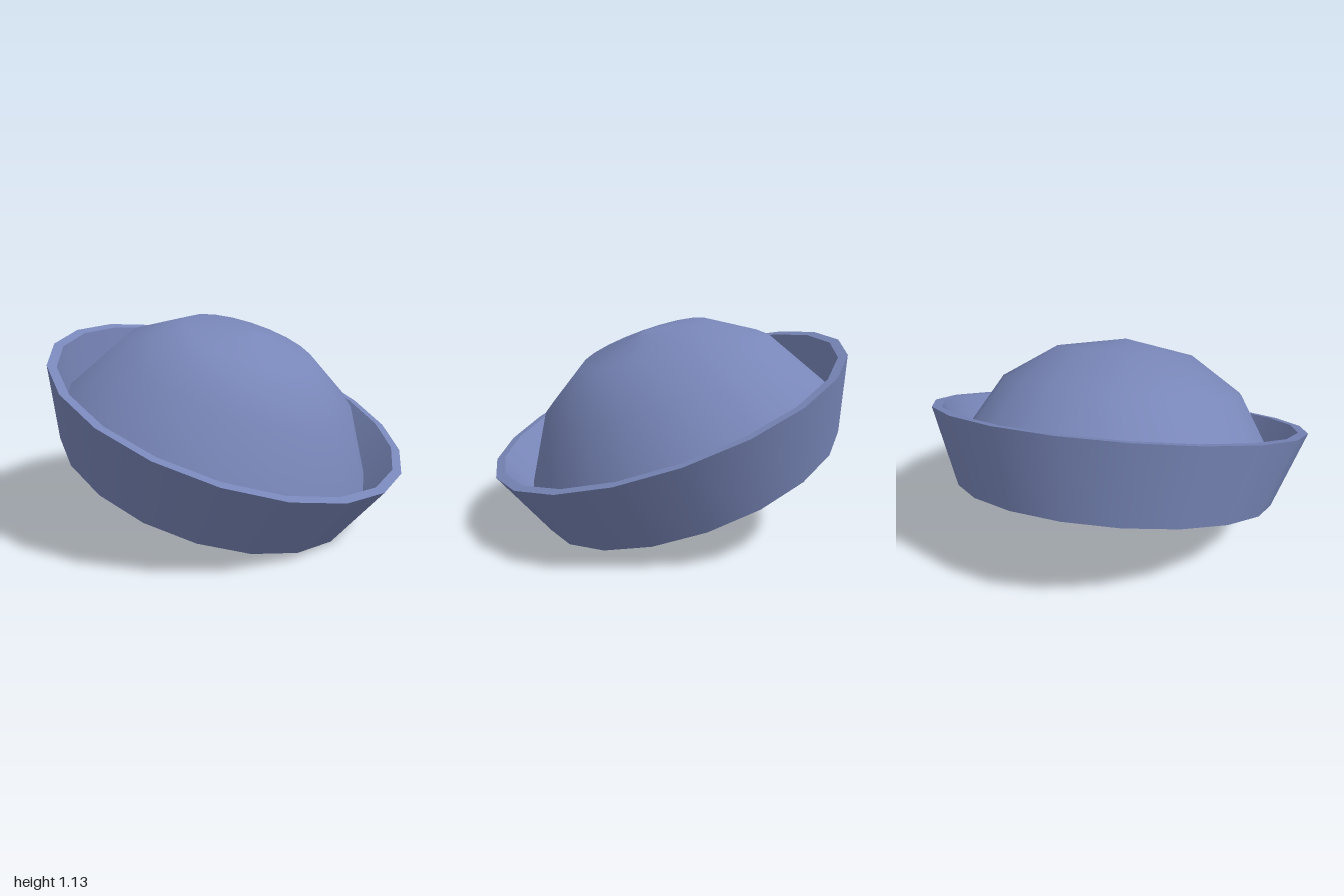
import * as THREE from 'three';

const SIDES = 20;

export function createModel() {
  const model = new THREE.Group();
  model.name = 'sailorHat';
  const cloth = new THREE.MeshStandardMaterial({ color: 0x7886b8 });

  // The hat is modelled upright around its rim centre, then tilted.
  const hat = new THREE.Group();
  hat.name = 'tiltedHat';
  hat.position.y = 0.68;
  hat.rotation.set(0.093, 0, -0.354, 'ZXY');
  model.add(hat);

  // Revolves a profile of [radius, height] pairs; separate parts keep edges sharp.
  const addRing = (name, profile) => {
    const points = profile.map(([r, y]) => new THREE.Vector2(r, y));
    const mesh = new THREE.Mesh(new THREE.LatheGeometry(points, SIDES), cloth);
    mesh.name = name;
    hat.add(mesh);
  };

  addRing('base', [[0, -0.4], [0.853, -0.4]]);
  addRing('brimOuterWall', [[0.853, -0.4], [1, 0]]);
  addRing('brimLip', [[1, 0], [0.95, 0]]);
  addRing('brimInnerWall', [[0.95, 0], [0.865, -0.2]]);
  addRing('crown', [[0.865, -0.2], [0.645, 0.16], [0.365, 0.342], [0, 0.405]]);

  return model;
}
